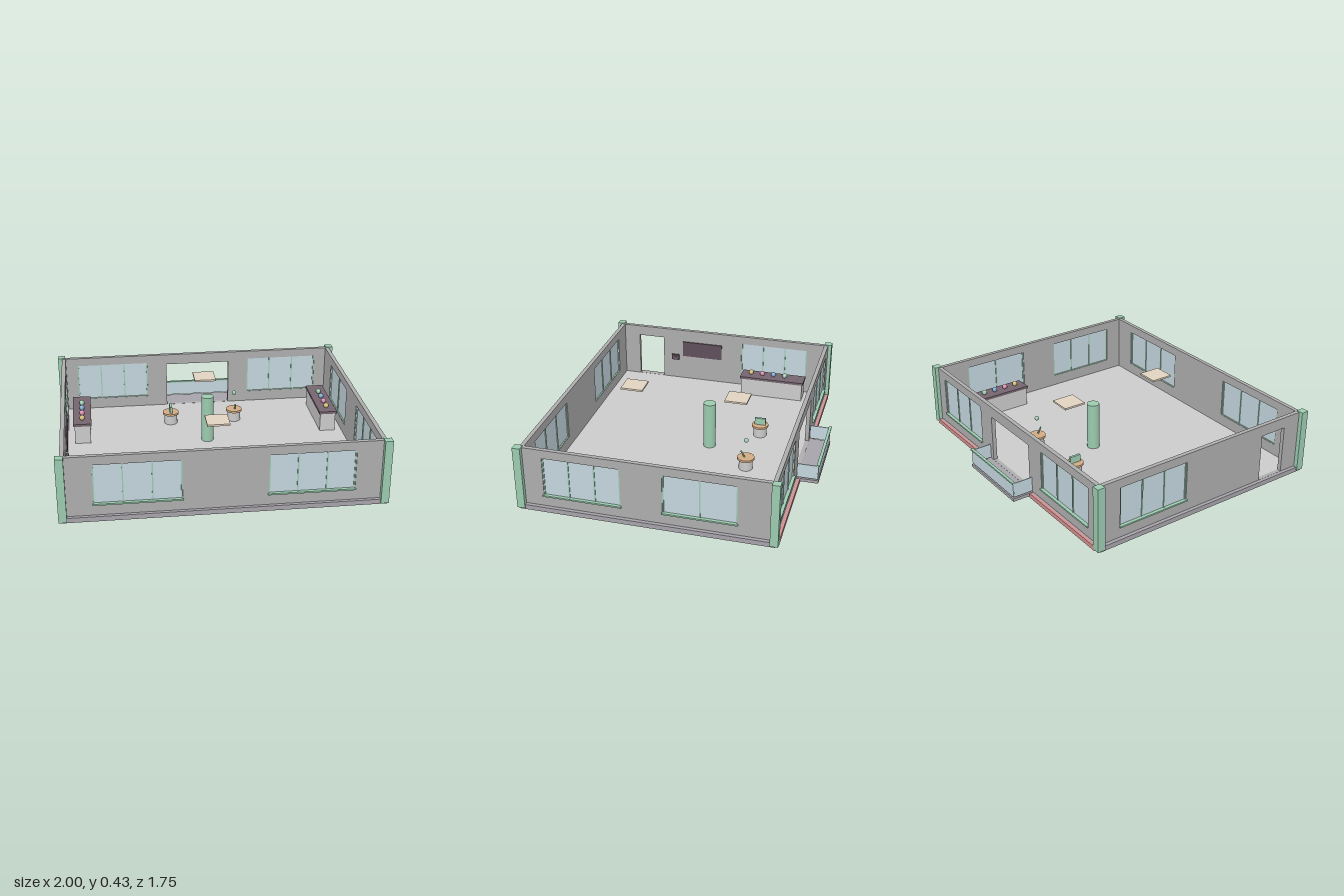
import * as THREE from 'three';

const mat = (color) => new THREE.MeshStandardMaterial({ color });
const M = {
  grey: mat(0xcccccc), wall: mat(0xadadad), base: mat(0xa6a4aa), green: mat(0x9ccbb0),
  glass: mat(0xc4d6de), red: mat(0xd09090), purple: mat(0x75646f), dark: mat(0x5e4f5c),
  wood: mat(0xd0ab82), cream: mat(0xe0d3bf), blue: mat(0x7fa8cc), pink: mat(0xd58fb0), yellow: mat(0xd2bd78),
};
const H = 0.425, FLOOR = 0.035, T = 0.027;

function add(parent, name, geometry, material, x = 0, y = 0, z = 0) {
  const mesh = new THREE.Mesh(geometry, material);
  mesh.name = name;
  mesh.position.set(x, y, z);
  parent.add(mesh);
  return mesh;
}

// Box given by its lower and upper corner
function box(parent, name, material, x0, x1, y0, y1, z0, z1) {
  return add(parent, name, new THREE.BoxGeometry(x1 - x0, y1 - y0, z1 - z0), material,
    (x0 + x1) / 2, (y0 + y1) / 2, (z0 + z1) / 2);
}

const rect = (Kind, x0, x1, y0, y1) => new Kind([[x0, y0], [x1, y0], [x1, y1], [x0, y1]]
  .map(([x, y]) => new THREE.Vector2(x, y)));

// Wall along local x; windows are [start, end, panes], out is the outward side (+1 or -1 in local z)
function wall(name, a, b, out, windows, door) {
  const group = new THREE.Group();
  group.name = name;
  const shape = rect(THREE.Shape, a, b, FLOOR, H);
  if (door) {
    const [d0, d1, top] = door;
    shape.holes.push(rect(THREE.Path, d0, d1, FLOOR + 0.001, top));
  }
  for (const [w0, w1] of windows) shape.holes.push(rect(THREE.Path, w0, w1, 0.11, 0.368));
  add(group, 'wallPanel', new THREE.ExtrudeGeometry(shape, { depth: T, bevelEnabled: false }), M.wall);

  const outer = out > 0 ? T : 0;
  for (const [w0, w1, panes] of windows) {
    box(group, 'windowGlass', M.glass, w0, w1, 0.11, 0.368, T / 2 - 0.003, T / 2 + 0.003);
    for (let i = 0; i <= panes; i++) {
      const edge = i === 0 ? 0.004 : i === panes ? -0.004 : 0;
      const x = w0 + (w1 - w0) * i / panes + edge;
      box(group, 'mullion', M.green, x - 0.004, x + 0.004, 0.11, 0.368, T / 2 - 0.008, T / 2 + 0.008);
    }
    const z = [outer - out * (T - 0.002), outer + out * 0.011].sort((p, q) => p - q);
    box(group, 'windowSill', M.green, w0 - 0.005, w1 + 0.005, 0.103, 0.113, z[0], z[1]);
  }
  return group;
}

export function createModel() {
  const room = new THREE.Group();
  room.name = 'room';

  // Floor slab with a projecting plinth, coloured along the back
  box(room, 'floorSlab', M.base, -0.992, 0.992, 0, FLOOR - 0.003, -0.735, 0.858);
  box(room, 'floor', M.grey, -0.95, 0.95, 0.03, FLOOR, -0.71, 0.82);
  box(room, 'backPlinth', M.red, -0.96, 0.96, 0.002, FLOOR - 0.003, -0.755, -0.735);

  // Four walls
  const front = wall('frontWall', -0.97, 0.97, 1, [[-0.79, -0.26, 3], [0.26, 0.79, 3]]);
  front.position.z = 0.815;
  const back = wall('backWall', -0.97, 0.97, -1,
    [[-0.865, -0.365, 3], [0.365, 0.865, 3]], [-0.225, 0.225, 0.352]);
  back.position.z = -0.73;
  const right = wall('rightWall', -0.72, 0.83, -1, [[-0.505, -0.05, 2], [0.21, 0.7, 3]]);
  right.position.x = 0.972;
  const left = wall('leftWall', -0.72, 0.83, 1, [[-0.58, -0.09, 3]], [0.51, 0.7, 0.352]);
  left.position.x = -0.945;
  for (const side of [right, left]) side.rotation.y = -Math.PI / 2;
  room.add(front, back, right, left);

  // Corner posts
  for (const s of [-1, 1]) for (const z of [-0.73, 0.847])
    add(room, 'cornerPost', new THREE.BoxGeometry(0.05, 0.42, 0.05), M.green, s * 0.975, 0.22, z);

  // Balcony
  const balcony = new THREE.Group();
  balcony.name = 'balcony';
  room.add(balcony);
  box(balcony, 'balconySlab', M.base, -0.262, 0.262, 0.014, FLOOR, -0.872, -0.73);
  box(balcony, 'balconyGlass', M.glass, -0.258, 0.258, 0.043, 0.14, -0.868, -0.861);
  box(balcony, 'balconyRail', M.green, -0.263, 0.263, 0.138, 0.148, -0.875, -0.856);
  for (const s of [-1, 1])
    add(balcony, 'balconySideGlass', new THREE.BoxGeometry(0.006, 0.097, 0.13), M.glass, s * 0.256, 0.0915, -0.797);

  // Two counters with a row of coloured balls
  for (const s of [-1, 1]) {
    const counter = new THREE.Group();
    counter.name = 'counter';
    counter.position.set(s * 0.845, 0, -0.352);
    room.add(counter);
    box(counter, 'counterBody', M.grey, -0.053, 0.053, FLOOR, 0.165, -0.225, 0.225);
    box(counter, 'counterTop', M.purple, -0.061, 0.061, 0.163, 0.18, -0.233, 0.233);
    [M.green, M.blue, M.pink, M.yellow].forEach((m, i) =>
      add(counter, 'ball', new THREE.SphereGeometry(0.018, 20, 14), m, 0, 0.197, -0.088 + i * 0.083));
  }

  // Round pedestals with small display pieces
  for (const s of [-1, 1]) {
    const pedestal = new THREE.Group();
    pedestal.name = 'pedestal';
    pedestal.position.set(s * 0.225, 0, -0.39);
    room.add(pedestal);
    add(pedestal, 'pedestalBase', new THREE.CylinderGeometry(0.045, 0.045, 0.07, 28), M.grey, 0, 0.07, 0);
    add(pedestal, 'pedestalTop', new THREE.CylinderGeometry(0.056, 0.056, 0.014, 28), M.wood, 0, 0.111, 0);
    if (s > 0) {
      add(pedestal, 'displayRod', new THREE.CylinderGeometry(0.005, 0.005, 0.05, 10), M.green, 0.006, 0.14, 0.02)
        .rotation.x = 0.5;
      add(pedestal, 'displayBall', new THREE.SphereGeometry(0.015, 18, 12), M.green, 0, 0.24, 0);
    } else {
      box(pedestal, 'displaySlab', M.green, -0.008, 0.008, 0.118, 0.165, -0.037, 0.037);
    }
  }

  // Central column
  add(room, 'column', new THREE.CylinderGeometry(0.041, 0.041, 0.32, 28), M.green, 0, 0.195, -0.09);

  // Ceiling light panels
  for (const z of [-0.28, 0.43])
    add(room, 'lightPanel', new THREE.BoxGeometry(0.144, 0.012, 0.15), M.cream, 0, 0.419, z);

  // Wall screen and door intercom
  box(room, 'wallScreen', M.dark, -0.945, -0.936, 0.22, 0.335, 0.06, 0.36);
  box(room, 'intercom', M.dark, -0.945, -0.93, 0.185, 0.225, 0.39, 0.445);
  box(room, 'intercomButton', M.purple, -0.931, -0.922, 0.198, 0.212, 0.407, 0.428);
  return room;
}
